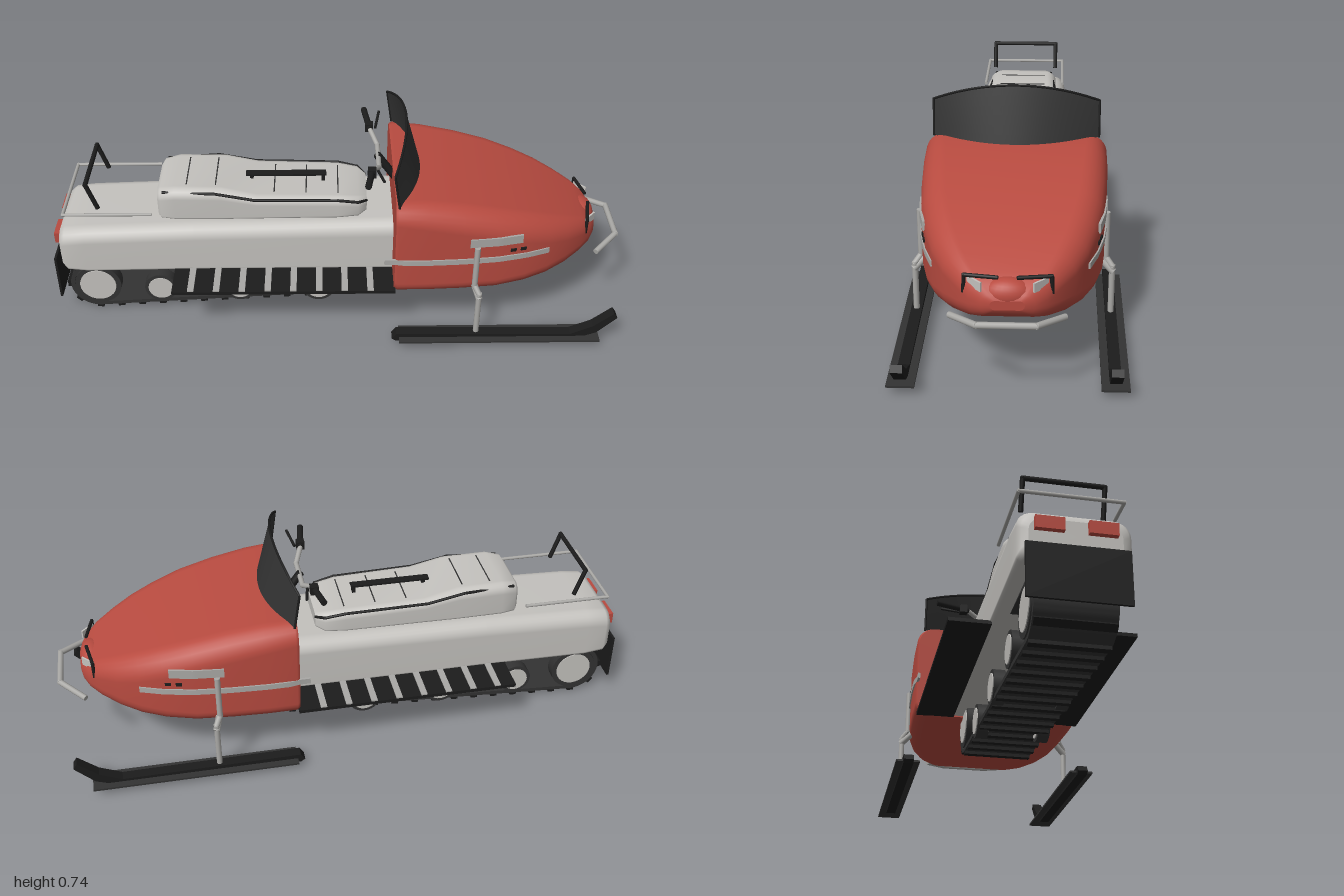
import * as THREE from 'three';
import { toCreasedNormals } from 'three/addons/utils/BufferGeometryUtils.js';

const mat = (name, color, side = THREE.FrontSide) => {
  const m = new THREE.MeshStandardMaterial({ color, side });
  m.name = name;
  return m;
};
const V = (x, y, z) => new THREE.Vector3(x, y, z);

export function createModel() {
  const model = new THREE.Group();
  const red = mat('red paint', 0xb84b40);
  const grey = mat('light grey', 0xc4c2be);
  const metal = mat('metal grey', 0xaaa9a6);
  const dark = mat('dark rubber', 0x333333);
  const black = mat('black plastic', 0x1c1c1c);
  const glass = mat('tinted screen', 0x333333, THREE.DoubleSide);

  const add = (name, geo, material, x = 0, y = 0, z = 0) => {
    const m = new THREE.Mesh(geo, material);
    m.name = name;
    m.position.set(x, y, z);
    model.add(m);
    return m;
  };
  const box = (name, w, h, d, material, x, y, z) => add(name, new THREE.BoxGeometry(w, h, d), material, x, y, z);
  // Tube with straight runs between points
  const pipe = (name, pts, r, material) => {
    const path = new THREE.CurvePath();
    for (let i = 1; i < pts.length; i++) path.add(new THREE.LineCurve3(V(...pts[i - 1]), V(...pts[i])));
    pts.forEach((p, i) => {
      if (i === 0) return;
      const a = V(...pts[i - 1]), b = V(...p), len = a.distanceTo(b);
      const m = add(name, new THREE.CylinderGeometry(r, r, len + r, 10), material);
      m.position.copy(a).lerp(b, 0.5);
      m.quaternion.setFromUnitVectors(V(0, 1, 0), b.sub(a).normalize());
    });
  };
  const mirror = fn => [1, -1].forEach(fn);

  // Skin over rounded-rectangle sections [x, halfWidth, bottom, top, bottomRadius, topRadius]
  const loft = sections => {
    const pos = [], idx = [], K = 7, N = K * 4;
    const ring = ([x, w, yb, yt, rb, rt]) => {
      const corners = [[-w + rb, yb + rb, rb, -90], [-w + rt, yt - rt, rt, 0], [w - rt, yt - rt, rt, 90], [w - rb, yb + rb, rb, 180]];
      for (const [cz, cy, r, start] of corners)
        for (let k = 0; k < K; k++) {
          const t = THREE.MathUtils.degToRad(start + 90 * k / (K - 1));
          pos.push(x, cy + r * Math.sin(t), cz - r * Math.cos(t));
        }
    };
    sections.forEach(ring);
    for (let i = 0; i < sections.length - 1; i++)
      for (let j = 0; j < N; j++) {
        const a = i * N + j, b = i * N + (j + 1) % N;
        idx.push(a, b, a + N, b, b + N, a + N);
      }
    [sections[0], sections.at(-1)].forEach((s, end) => {
      const base = pos.length / 3;
      ring(s);
      pos.push(s[0], (s[2] + s[3]) / 2, 0);
      for (let j = 0; j < N; j++) {
        const a = base + j, b = base + (j + 1) % N;
        if (end) idx.push(base + N, a, b); else idx.push(base + N, b, a);
      }
    });
    const g = new THREE.BufferGeometry();
    g.setAttribute('position', new THREE.Float32BufferAttribute(pos, 3));
    g.setIndex(idx);
    g.computeVertexNormals();
    return g;
  };

  // Hood
  const hood = [
    [0.19, 0.295, 0.205, 0.552, 0.05, 0.06], [0.2, 0.302, 0.2, 0.557, 0.05, 0.065],
    [0.3, 0.302, 0.2, 0.55, 0.05, 0.075], [0.42, 0.296, 0.2, 0.53, 0.05, 0.08],
    [0.54, 0.284, 0.2, 0.502, 0.05, 0.08], [0.64, 0.262, 0.204, 0.472, 0.055, 0.08],
    [0.72, 0.234, 0.212, 0.444, 0.06, 0.075], [0.79, 0.196, 0.226, 0.415, 0.06, 0.065],
    [0.85, 0.15, 0.247, 0.388, 0.05, 0.05], [0.885, 0.115, 0.265, 0.367, 0.04, 0.045],
    [0.905, 0.08, 0.285, 0.345, 0.025, 0.03], [0.912, 0.05, 0.3, 0.33, 0.014, 0.014]];
  add('hood', loft(hood), red);
  const hoodWidth = x => {
    const i = Math.max(1, hood.findIndex(s => s[0] >= x)), a = hood[i - 1], b = hood[i];
    return THREE.MathUtils.lerp(a[1], b[1], Math.max(0, (x - a[0]) / (b[0] - a[0])));
  };
  // Side strips that follow the hood's width
  const sideStrip = (name, x0, x1, y, h, material, side, t = 0.008) => {
    const g = new THREE.BoxGeometry(x1 - x0, h, t, 16, 1, 1).translate((x0 + x1) / 2, y, 0);
    const p = g.attributes.position;
    for (let i = 0; i < p.count; i++) p.setZ(i, p.getZ(i) + side * (hoodWidth(p.getX(i)) + 0.001));
    g.computeVertexNormals();
    add(name, g, material);
  };
  mirror(s => {
    sideStrip('hoodTrim', 0.155, 0.72, 0.343, 0.02, metal, s);
    sideStrip('sideVent', 0.44, 0.62, 0.417, 0.032, metal, s);
    sideStrip('ventSlot', 0.58, 0.6, 0.374, 0.01, black, s);
    sideStrip('ventSlot', 0.615, 0.635, 0.374, 0.01, black, s);
    // Headlight brow and lens
    pipe('headlightBrow', [[0.865, 0.335, s * 0.128], [0.866, 0.388, s * 0.126], [0.885, 0.391, s * 0.03]], 0.006, black);
    const lens = box('headlightLens', 0.006, 0.03, 0.055, grey, 0.882, 0.368, s * 0.095);
    lens.rotation.y = -s * 0.75;
  });
  const nose = add('nosePanel', new THREE.SphereGeometry(1, 24, 16), red, 0.87, 0.337, 0);
  nose.scale.set(0.043, 0.046, 0.075);

  // Tunnel body
  add('tunnelBody', loft([
    [-0.975, 0.135, 0.24, 0.34, 0.02, 0.04], [-0.968, 0.155, 0.222, 0.358, 0.02, 0.05],
    [-0.95, 0.166, 0.21, 0.37, 0.015, 0.05], [-0.88, 0.168, 0.205, 0.377, 0.012, 0.05],
    [-0.5, 0.168, 0.21, 0.39, 0.012, 0.05], [0.2, 0.168, 0.21, 0.402, 0.012, 0.05]]), grey);
  mirror(s => box('tailLight', 0.02, 0.04, 0.085, red, -0.982, 0.32, s * 0.077));
  box('snowFlap', 0.008, 0.17, 0.3, black, -0.995, 0.165, 0);

  // Running boards with grip bars
  mirror(s => {
    box('runningBoard', 0.77, 0.012, 0.135, black, -0.19, 0.21, s * 0.229);
    for (let i = 0; i < 8; i++) box('gripBar', 0.022, 0.006, 0.133, metal, -0.51 + i * 0.0885, 0.217, s * 0.229);
  });

  // Seat
  add('seat', loft([
    [-0.622, 0.1, 0.405, 0.495, 0.01, 0.03], [-0.61, 0.118, 0.4, 0.51, 0.01, 0.035],
    [-0.56, 0.128, 0.4, 0.52, 0.01, 0.035], [-0.4, 0.13, 0.4, 0.517, 0.01, 0.035],
    [-0.28, 0.128, 0.4, 0.488, 0.01, 0.03], [0, 0.125, 0.4, 0.48, 0.01, 0.03],
    [0.07, 0.115, 0.4, 0.47, 0.01, 0.03], [0.1, 0.085, 0.405, 0.455, 0.01, 0.02]]), grey);
  mirror(s => pipe('seatPiping', [[-0.6, 0.503, s * 0.108], [-0.42, 0.505, s * 0.123], [-0.29, 0.478, s * 0.123],
    [0, 0.472, s * 0.12], [0.07, 0.458, s * 0.112], [0.098, 0.445, s * 0.08]], 0.005, black));
  [[-0.52, 0.519], [-0.42, 0.518], [-0.22, 0.487], [-0.11, 0.484], [0, 0.48]].forEach(([x, y]) =>
    box('seatSeam', 0.004, 0.003, 0.17, dark, x, y, 0));
  box('seatStrap', 0.28, 0.007, 0.028, black, -0.18, 0.507, 0);
  [-0.3, -0.05].forEach(x => box('strapPost', 0.012, 0.03, 0.024, black, x, 0.493, 0));

  // Rear rack and grab rail
  pipe('rackFrame', [[-0.64, 0.445, 0.155], [-0.94, 0.445, 0.155], [-0.94, 0.445, -0.155], [-0.64, 0.445, -0.155]], 0.006, metal);
  pipe('grabRail', [[-0.825, 0.455, 0.125], [-0.855, 0.548, 0.125], [-0.855, 0.548, -0.125], [-0.825, 0.455, -0.125]], 0.008, black);

  // Windscreen
  const screen = new THREE.PlaneGeometry(2, 1, 24, 6), sp = screen.attributes.position;
  const screenPoint = (u, v) => V(THREE.MathUtils.lerp(0.285 - 0.085 * u * u, 0.232 - 0.05 * u * u, v),
    0.55 + v * (0.188 - 0.066 * u * u), -0.275 * u);
  for (let i = 0; i < sp.count; i++) {
    const q = screenPoint(sp.getX(i), sp.getY(i) + 0.5);
    sp.setXYZ(i, q.x, q.y, q.z);
  }
  screen.computeVertexNormals();
  add('windscreen', screen, glass);
  const rim = Array.from({ length: 13 }, (_, i) => screenPoint(i / 6 - 1, 1));
  add('windscreenRim', new THREE.TubeGeometry(new THREE.CatmullRomCurve3(rim), 32, 0.004, 6), black);
  mirror(s => pipe('windscreenEdge', [screenPoint(s, 0).toArray(), screenPoint(s, 1).toArray()], 0.004, black));

  // Handlebar
  pipe('steeringStem', [[0.2, 0.49, 0], [0.14, 0.575, 0]], 0.014, black);
  mirror(s => {
    pipe('handlebar', [[0.14, 0.575, 0], [0.14, 0.575, s * 0.07], [0.115, 0.605, s * 0.13]], 0.009, metal);
    pipe('handGrip', [[0.115, 0.605, s * 0.13], [0.098, 0.615, s * 0.24]], 0.011, black);
    box('controlSwitch', 0.028, 0.03, 0.028, black, 0.113, 0.605, s * 0.145);
    pipe('brakeLever', [[0.135, 0.605, s * 0.14], [0.15, 0.62, s * 0.22]], 0.005, black);
  });

  // Front bumper
  pipe('frontBumper', [[0.905, 0.278, 0.163], [0.985, 0.295, 0.085], [0.985, 0.295, -0.085], [0.905, 0.278, -0.163]], 0.01, metal);

  // Skis and struts
  const skiShape = new THREE.Shape([[0.185, 0.03], [0.2, 0.02], [0.82, 0.022], [0.9, 0.052], [0.965, 0.118],
    [0.952, 0.137], [0.885, 0.08], [0.81, 0.046], [0.2, 0.052]].map(p => new THREE.Vector2(...p)));
  mirror(s => {
    add('skiRunner', new THREE.ExtrudeGeometry(skiShape, { depth: 0.036, bevelEnabled: false }), black, 0, 0, s * 0.318 - 0.018);
    box('skiPlate', 0.7, 0.007, 0.085, dark, 0.56, 0.033, s * 0.318);
    pipe('skiStrut', [[0.48, 0.04, s * 0.318], [0.48, 0.215, s * 0.318], [0.465, 0.24, s * 0.298], [0.465, 0.395, s * 0.298]], 0.01, metal);
    pipe('strutArm', [[0.48, 0.2, s * 0.318], [0.46, 0.245, s * 0.27]], 0.012, metal);
  });

  // Track belt with lugs
  const loop = (Kind, dr) => {
    const p = new Kind();
    p.absarc(-0.865, 0.11, 0.098 - dr, Math.PI / 2, Math.PI * 1.5, false);
    p.absarc(0.19, 0.175, 0.1 - dr, -Math.PI / 2, Math.PI / 2, false);
    p.closePath();
    return p;
  };
  const belt = loop(THREE.Shape, 0);
  const lugPath = loop(THREE.Path, 0);
  belt.holes.push(loop(THREE.Path, 0.014));
  add('trackBelt', toCreasedNormals(new THREE.ExtrudeGeometry(belt, { depth: 0.24, bevelEnabled: false, curveSegments: 20 })
    .translate(0, 0, -0.12), 0.6), dark);
  for (let i = 0; i < 36; i++) {
    const p = lugPath.getPointAt(i / 36), t = lugPath.getTangentAt(i / 36);
    box('trackLug', 0.024, 0.022, 0.236, black, p.x, p.y, 0).rotation.z = Math.atan2(t.y, t.x);
  }

  // Wheels with pale hubs
  [[-0.865, 0.11, 0.083], [-0.64, 0.093, 0.058], [-0.355, 0.093, 0.058], [-0.07, 0.09, 0.058], [0.185, 0.175, 0.085]].forEach(([x, y, r]) => {
    mirror(s => {
      add('wheelTyre', new THREE.CylinderGeometry(r, r, 0.04, 28).rotateX(Math.PI / 2), dark, x, y, s * 0.104);
      add('wheelHub', new THREE.CylinderGeometry(r * 0.78, r * 0.78, 0.046, 28).rotateX(Math.PI / 2), grey, x, y, s * 0.104);
    });
    add('wheelAxle', new THREE.CylinderGeometry(0.015, 0.015, 0.2, 12).rotateX(Math.PI / 2), black, x, y, 0);
  });

  return model;
}
